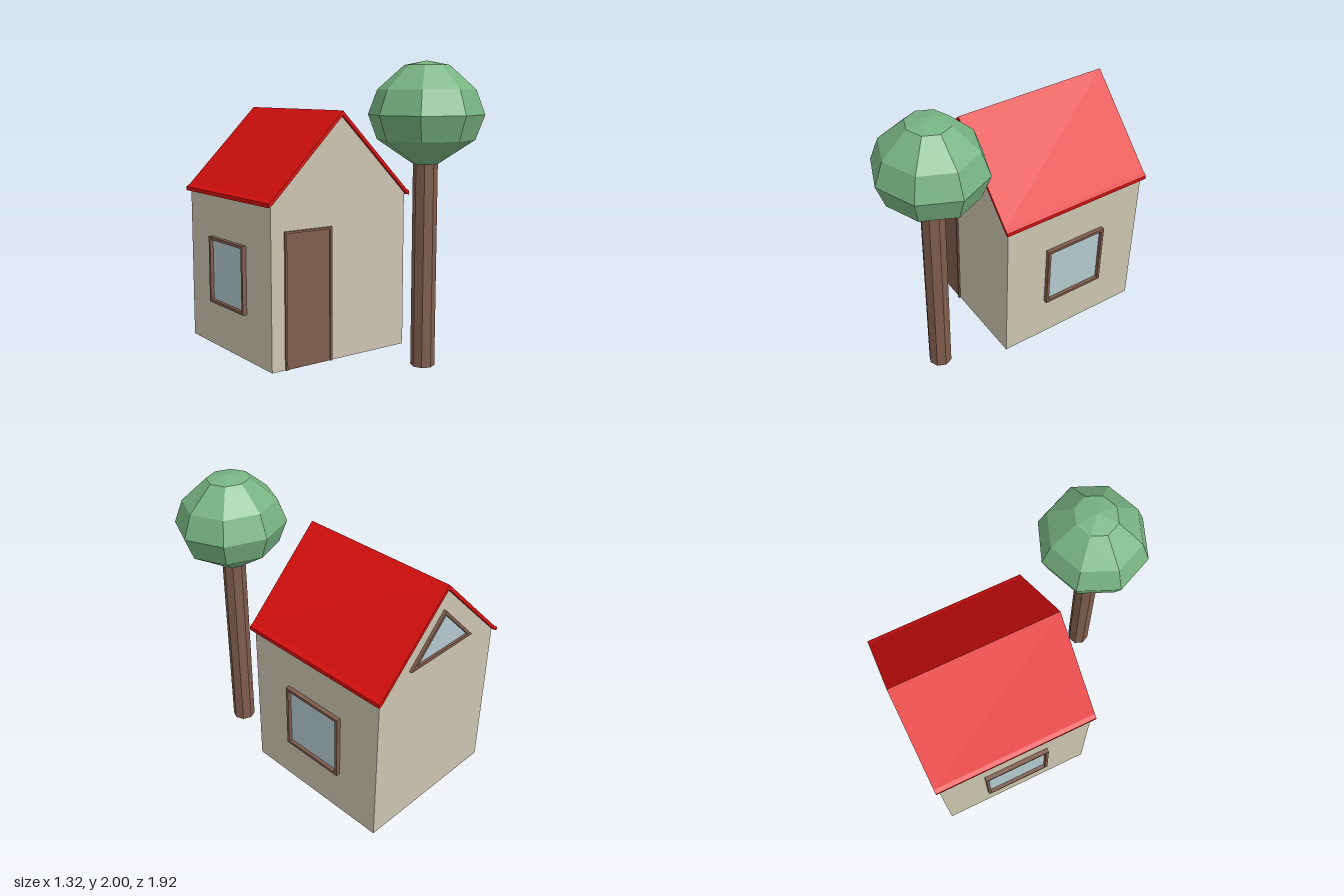
import * as THREE from 'three';

const paint = (name, color, options = {}) => {
  const m = new THREE.MeshStandardMaterial({ color, ...options });
  m.name = name;
  return m;
};

export function createModel() {
  const model = new THREE.Group();
  model.name = 'houseAndTree';
  const wall = paint('plaster', 0xccc4b1);
  const red = paint('roofRed', 0xda0f0f);
  const wood = paint('wood', 0x815d4e, { flatShading: true });
  const glass = paint('glass', 0xb3c9ce);
  const leaf = paint('leaf', 0x78b482, { flatShading: true });

  const add = (parent, name, geometry, material, x = 0, y = 0, z = 0) => {
    const mesh = new THREE.Mesh(geometry, material);
    mesh.name = name;
    mesh.position.set(x, y, z);
    parent.add(mesh);
    return mesh;
  };
  const shapeOf = (pts) => new THREE.Shape(pts.map(([x, y]) => new THREE.Vector2(x, y)));
  const extrude = (shape, depth) => new THREE.ExtrudeGeometry(shape, { depth, bevelEnabled: false });

  // House: gabled walls, front face at local z = 0
  const house = new THREE.Group();
  house.name = 'house';
  house.position.set(-0.085, 0, 0.165);
  model.add(house);
  const halfW = 0.55, depth = 1.105;
  add(house, 'walls', extrude(shapeOf([
    [-halfW, 0], [halfW, 0], [halfW, 1.1], [0, 1.65], [-halfW, 1.1],
  ]), depth), wall, 0, 0, -depth);

  // Roof: one bent slab with slightly flattened eaves
  add(house, 'roof', extrude(shapeOf([
    [0, 1.65], [halfW, 1.1], [0.577, 1.085], [0.577, 1.112], [halfW, 1.13],
    [0, 1.682], [-halfW, 1.13], [-0.577, 1.112], [-0.577, 1.085], [-halfW, 1.1],
  ]), depth + 0.046), red, 0, 0, -depth - 0.023);

  // Door: panel inside a three-sided frame
  const door = new THREE.Group();
  door.name = 'door';
  door.position.set(-0.265, 0, 0);
  house.add(door);
  add(door, 'doorFrame', extrude(shapeOf([
    [-0.185, 0], [-0.17, 0], [-0.17, 0.905], [0.17, 0.905], [0.17, 0],
    [0.185, 0], [0.185, 0.92], [-0.185, 0.92],
  ]), 0.012), wood);
  add(door, 'doorPanel', new THREE.PlaneGeometry(0.34, 0.905), wood, 0, 0.4525, 0.003);

  // Window: outline centred on its incircle, so scaling gives an even frame
  const addWindow = (name, outline, inradius, frameWidth, frameDepth) => {
    const win = new THREE.Group();
    win.name = name;
    const k = 1 - frameWidth / inradius;
    const inner = outline.map(([x, y]) => [x * k, y * k]);
    const frame = shapeOf(outline);
    frame.holes.push(shapeOf(inner));
    add(win, 'windowFrame', extrude(frame, frameDepth), wood);
    add(win, 'windowGlass', new THREE.ShapeGeometry(shapeOf(inner)), glass, 0, 0, 0.006);
    house.add(win);
    return win;
  };

  // Square windows on both sides
  const s = 0.236;
  for (const [name, side] of [['leftWindow', 1], ['rightWindow', -1]]) {
    const win = addWindow(name, [[-s, -s], [s, -s], [s, s], [-s, s]], s, 0.02, 0.03);
    win.position.set(side * halfW, 0.554, -0.554);
    win.rotation.y = side * Math.PI / 2;
  }

  // Triangular window in the back gable
  const a = 0.293, h = 0.306;
  const r = a * h / (a + Math.hypot(a, h));
  const gable = addWindow('gableWindow', [[-a, -r], [a, -r], [0, h - r]], r, 0.02, 0.022);
  gable.position.set(0, 1.194 + r, -depth);
  gable.rotation.y = Math.PI;

  // Tree: octagonal trunk and faceted crown
  const tree = new THREE.Group();
  tree.name = 'tree';
  tree.position.set(0.272, 0, 0.598);
  model.add(tree);
  add(tree, 'trunk', new THREE.CylinderGeometry(0.08, 0.08, 1.36, 8), wood, 0, 0.68, 0);
  const crownProfile = [
    [0, 1.345], [0.085, 1.345], [0.324, 1.5], [0.385, 1.66], [0.324, 1.818], [0.148, 1.972], [0, 2],
  ].map(([x, y]) => new THREE.Vector2(x, y));
  const crown = add(tree, 'crown', new THREE.LatheGeometry(crownProfile, 8), leaf);
  crown.scale.z = 0.94;

  return model;
}
